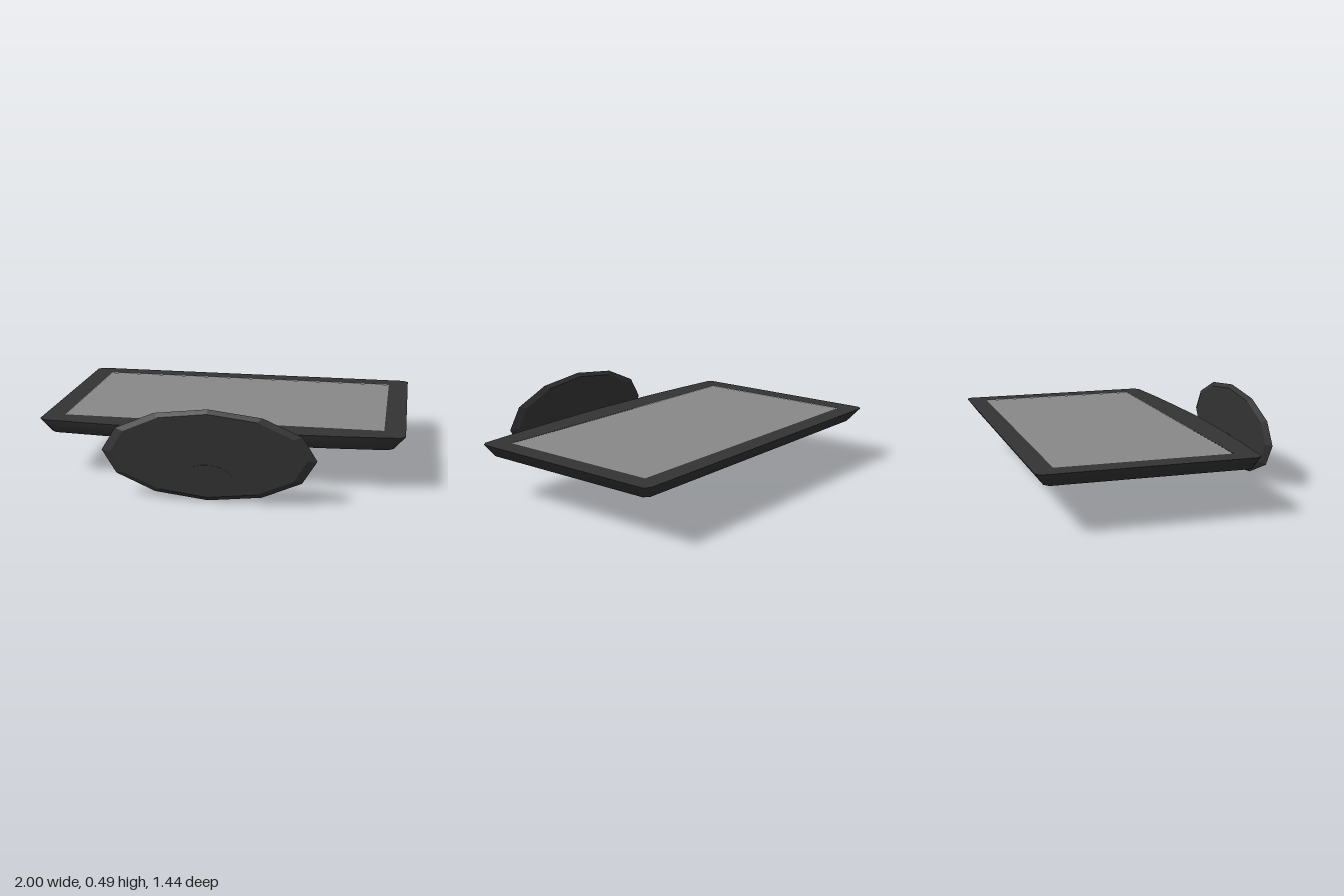
import * as THREE from 'three';

const dark = (flatShading = false) => new THREE.MeshStandardMaterial({ color: 0x333333, flatShading });

// Skin equal-length rings of [x, y, z]; rings turn right-handed about the travel direction.
function loft(rings, capStart, capEnd) {
  const n = rings[0].length;
  const pos = rings.flat(2);
  const index = [];
  for (let i = 0; i < rings.length - 1; i++) {
    for (let j = 0; j < n; j++) {
      const a = i * n + j, b = i * n + (j + 1) % n;
      index.push(a, b, a + n, b, b + n, a + n);
    }
  }
  const cap = (ring, flip) => {
    const start = pos.length / 3;
    const mid = [0, 1, 2].map(k => ring.reduce((s, p) => s + p[k], 0) / n);
    pos.push(...ring.flat(), ...mid);
    for (let j = 0; j < n; j++) {
      const a = start + j, b = start + (j + 1) % n;
      index.push(start + n, flip ? b : a, flip ? a : b);
    }
  };
  if (capStart) cap(rings[0], true);
  if (capEnd) cap(rings[rings.length - 1], false);
  const g = new THREE.BufferGeometry();
  g.setAttribute('position', new THREE.Float32BufferAttribute(pos, 3));
  g.setIndex(index);
  g.computeVertexNormals();
  return g;
}

// Ellipse in the xy plane, turning about -z
const ellipse = (n, rx, ry, y, z) => Array.from({ length: n }, (_, i) => {
  const t = i / n * Math.PI * 2;
  return [rx * Math.sin(t), y + ry * Math.cos(t), z];
});

export function createModel() {
  const model = new THREE.Group();
  const add = (name, geometry, material) => {
    const mesh = new THREE.Mesh(geometry, material);
    mesh.name = name;
    model.add(mesh);
    return mesh;
  };

  // Panel outline as (x, z): clipped corners and a bowed lower edge
  const half = [[0.97, -0.72], [1, -0.695], [1, 0.42], [0.97, 0.445], [0.67, 0.468], [0.35, 0.484]];
  const outline = [...half, [0, 0.493], ...half.map(([x, z]) => [-x, z]).reverse()];

  // Back shell, tapering in two steps to a flat back
  const shellRing = (y, sx, z0, z1) => outline.map(([x, z]) =>
    [x * sx, y, z0 + (z + 0.72) / 1.213 * (z1 - z0)]);
  add('backShell', loft([
    shellRing(0.31, 1, -0.72, 0.493),
    shellRing(0.236, 0.938, -0.665, 0.473),
    shellRing(0.17, 0.55, -0.43, 0.21),
  ], false, true), dark());

  // Bezel with the screen opening
  const bezel = new THREE.Shape(outline.map(([x, z]) => new THREE.Vector2(x, -z)));
  const [sx, top, bottom] = [0.885, 0.61, -0.33];
  bezel.holes.push(new THREE.Path([[-sx, bottom], [-sx, top], [sx, top], [sx, bottom]]
    .map(p => new THREE.Vector2(...p))));
  add('bezel', new THREE.ShapeGeometry(bezel).rotateX(-Math.PI / 2).translate(0, 0.31, 0), dark());

  // Screen
  add('screen', new THREE.PlaneGeometry(2 * sx, top - bottom).rotateX(-Math.PI / 2)
    .translate(0, 0.309, -(top + bottom) / 2), new THREE.MeshStandardMaterial({ color: 0x888888 }));

  // Twelve-sided oval foot with a bevelled rim
  add('base', loft([[0.91, 0.718], [1, 0.702], [0.91, 0.683]].map(([s, z]) =>
    ellipse(12, 0.565 * s, 0.247 * s, 0.247, z)), true, true), dark(true));

  // Neck: flared at the foot, bending up into the back shell; its end shows as a disc on the foot
  const neck = [ // z, centre y, rx, ry
    [0.72, 0.135, 0.125, 0.065], [0.68, 0.135, 0.122, 0.063], [0.635, 0.145, 0.087, 0.053],
    [0.55, 0.157, 0.078, 0.053], [0.43, 0.183, 0.078, 0.052], [0.2, 0.237, 0.08, 0.05],
  ];
  add('neck', loft(neck.map(([z, y, rx, ry]) => ellipse(24, rx, ry, y, z)), true, true), dark());

  return model;
}
